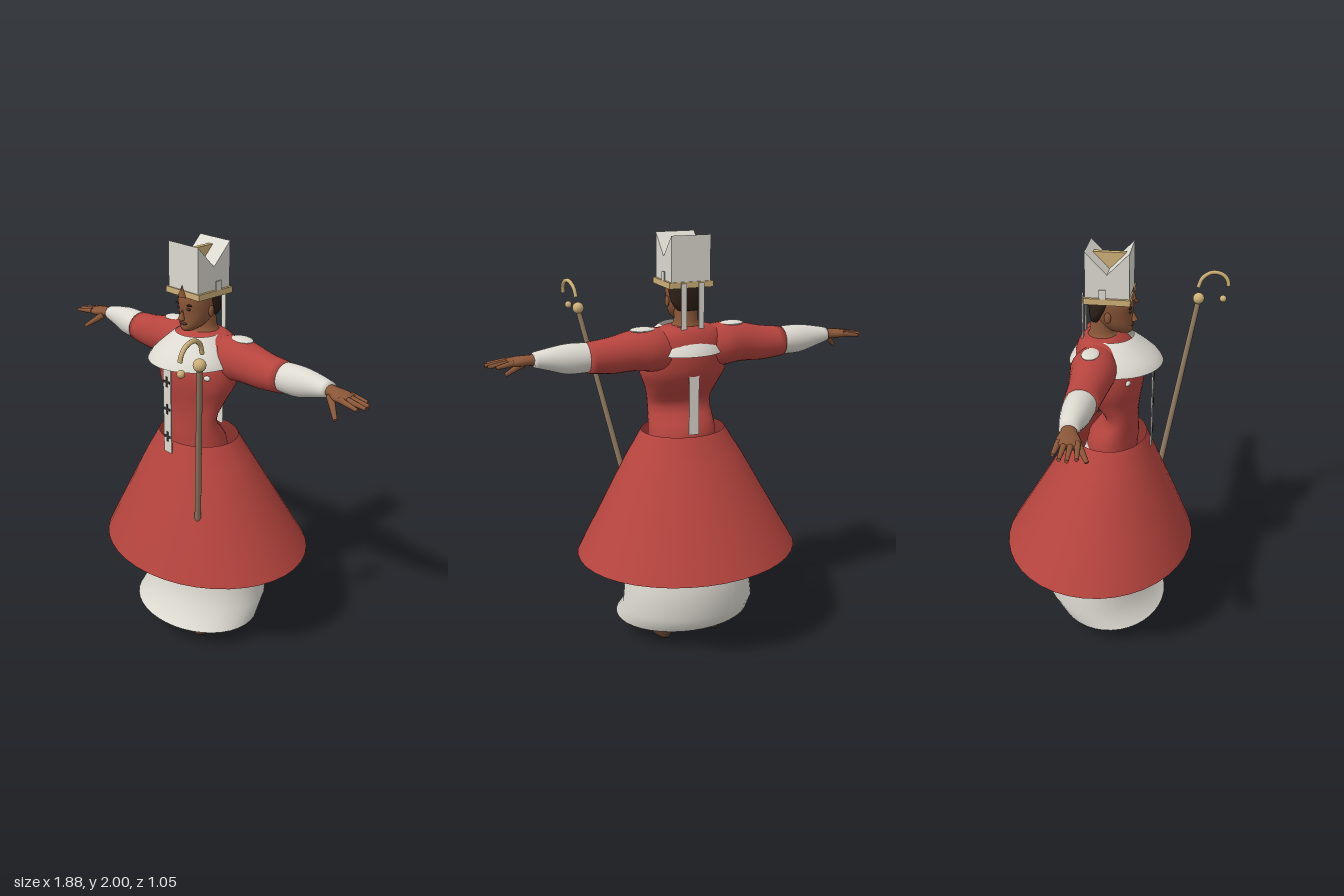
import * as THREE from 'three';

const paint = (name, color) => Object.assign(new THREE.MeshStandardMaterial({ color }), { name });

export function createModel() {
  const red = paint('red cloth', 0xb6443e);
  const white = paint('white linen', 0xdcd9d0);
  const skin = paint('skin', 0x8a5638);
  const leather = paint('dark leather', 0x4d3626);
  const hairDark = paint('dark hair', 0x2c1e17);
  const gold = paint('gold', 0xcdb078);
  const wood = paint('staff wood', 0x8e7960);
  const black = paint('black trim', 0x353535);
  red.side = white.side = THREE.DoubleSide;

  const model = new THREE.Group();
  const add = (name, geo, mat, pos = [0, 0, 0], scale = [1, 1, 1]) => {
    const m = new THREE.Mesh(geo, mat);
    m.name = name;
    m.position.set(...pos);
    m.scale.set(...scale);
    model.add(m);
    return m;
  };
  const box = (name, size, mat, pos) => add(name, new THREE.BoxGeometry(...size), mat, pos);
  const ball = (name, r, mat, pos) => add(name, new THREE.SphereGeometry(1, 20, 14), mat, pos, r);

  // Smooths a list of cross-sections with a Catmull-Rom rule.
  const refine = (rows, steps) => {
    const out = [];
    for (let i = 0; i < rows.length - 1; i++) {
      const [a, b, c, d] = [rows[Math.max(i - 1, 0)], rows[i], rows[i + 1], rows[Math.min(i + 2, rows.length - 1)]];
      for (let s = 0; s < steps; s++) {
        const t = s / steps;
        out.push(b.map((v, k) => v + 0.5 * t * (c[k] - a[k] + t * (2 * a[k] - 5 * v + 4 * c[k] - d[k]
          + t * (3 * (v - c[k]) + d[k] - a[k])))));
      }
    }
    out.push(rows[rows.length - 1]);
    return out;
  };

  // Skins elliptical rings; a row is [along, aMin, aMax, zMin, zMax], a = x (axis y) or y (axis x).
  const loft = (rows, { axis = 'y', steps = 3, n = 32, caps = true } = {}) => {
    const rings = refine(rows, steps), pos = [], idx = [];
    const put = (p, a, z) => (axis === 'y' ? pos.push(a, p, z) : pos.push(p, a, z));
    const flip = (axis === 'x') === (rows[rows.length - 1][0] > rows[0][0]);
    const tri = (a, b, c) => (flip ? idx.push(a, c, b) : idx.push(a, b, c));
    for (const [p, a0, a1, z0, z1] of rings) {
      for (let i = 0; i < n; i++) {
        const t = (i / n) * Math.PI * 2;
        put(p, (a0 + a1) / 2 + Math.cos(t) * (a1 - a0) / 2, (z0 + z1) / 2 + Math.sin(t) * (z1 - z0) / 2);
      }
    }
    for (let j = 0; j < rings.length - 1; j++) {
      for (let i = 0; i < n; i++) {
        const a = j * n + i, b = j * n + (i + 1) % n;
        tri(a, a + n, b);
        tri(b, a + n, b + n);
      }
    }
    if (caps) {
      const last = (rings.length - 1) * n;
      for (const [r, base] of [[rings[0], 0], [rings[rings.length - 1], last]]) {
        const c = pos.length / 3;
        put(r[0], (r[1] + r[2]) / 2, (r[3] + r[4]) / 2);
        for (let i = 0; i < n; i++) {
          const a = base + i, b = base + (i + 1) % n;
          base ? tri(a, c, b) : tri(a, b, c);
        }
      }
    }
    const g = new THREE.BufferGeometry();
    g.setAttribute('position', new THREE.Float32BufferAttribute(pos, 3));
    g.setIndex(idx);
    g.computeVertexNormals();
    return g;
  };
  // Rows symmetric in x: [y, half width, zBack, zFront]
  const sym = (rows, cx = 0) => rows.map(([y, r, z0, z1]) => [y, cx - r, cx + r, z0, z1]);

  // Tapered limb between two points
  const rod = (name, from, to, r0, r1, mat) => {
    const a = new THREE.Vector3(...from), b = new THREE.Vector3(...to), d = b.clone().sub(a);
    const m = add(name, new THREE.CylinderGeometry(r1, r0, d.length(), 12), mat);
    m.position.copy(a).add(b).multiplyScalar(0.5);
    m.quaternion.setFromUnitVectors(new THREE.Vector3(0, 1, 0), d.normalize());
    return m;
  };

  // Skirts
  add('overskirt', loft(sym([[0.48, 0.548, -0.518, 0.42], [0.7, 0.425, -0.39, 0.335],
    [0.94, 0.293, -0.25, 0.235], [1.0, 0.255, -0.215, 0.21], [1.08, 0.207, -0.172, 0.177]]),
  { steps: 2, n: 40, caps: false }), red);
  add('underskirt', loft(sym([[0.11, 0.347, -0.265, 0.29], [0.2, 0.335, -0.322, 0.2], [0.35, 0.318, -0.3, 0.19],
    [0.48, 0.3, -0.275, 0.186], [0.8, 0.22, -0.2, 0.14], [1.05, 0.16, -0.1, 0.13]]),
  { steps: 1, n: 40, caps: false }), white);

  // Torso with a hollow lower back
  add('torso', loft(sym([[0.98, 0.17, -0.11, 0.13], [1.08, 0.168, -0.1, 0.138], [1.19, 0.16, -0.02, 0.135],
    [1.28, 0.178, -0.085, 0.145], [1.36, 0.21, -0.14, 0.157], [1.44, 0.215, -0.157, 0.155],
    [1.52, 0.205, -0.155, 0.11], [1.57, 0.16, -0.135, 0.06], [1.59, 0.1, -0.11, 0.03]])), red);

  // Shoulder cape
  add('cape', loft(sym([[1.465, 0.216, -0.188, 0.247], [1.5, 0.197, -0.17, 0.222],
    [1.55, 0.15, -0.13, 0.16], [1.588, 0.108, -0.1, 0.11]]), { steps: 2, n: 40, caps: false }), white);

  // Neck and head
  add('neck', loft(sym([[1.53, 0.1, -0.12, 0.06], [1.58, 0.075, -0.105, 0.04], [1.61, 0.057, -0.092, 0.02],
    [1.68, 0.053, -0.085, 0.02]])), skin);
  add('head', loft(sym([[1.605, 0.022, 0.03, 0.095], [1.62, 0.043, -0.01, 0.105], [1.65, 0.062, -0.05, 0.103],
    [1.69, 0.072, -0.078, 0.103], [1.74, 0.077, -0.088, 0.108], [1.785, 0.075, -0.088, 0.1]])), skin);
  add('hair', loft(sym([[1.66, 0.05, -0.088, -0.03], [1.69, 0.075, -0.092, -0.02], [1.73, 0.081, -0.096, 0.02],
    [1.78, 0.081, -0.094, 0.05]])), hairDark);
  const nose = add('nose', new THREE.ConeGeometry(0.017, 0.055, 8), skin, [0, 1.687, 0.106]);
  nose.rotation.x = -0.22;
  ball('lips', [0.024, 0.007, 0.008], leather, [0, 1.642, 0.1]);
  add('foreheadPeak', new THREE.ConeGeometry(0.027, 0.055, 4), skin, [0, 1.792, 0.105], [1, 1, 0.5]);
  for (const s of [1, -1]) {
    ball('ear', [0.009, 0.026, 0.016], skin, [s * 0.079, 1.695, 0]);
    ball('eye', [0.013, 0.006, 0.006], black, [s * 0.031, 1.712, 0.096]);
    ball('eyebrow', [0.02, 0.005, 0.007], hairDark, [s * 0.033, 1.73, 0.096]);
  }

  // Split tall hat with its band, crest and hanging ribbons
  const hat = new THREE.Shape([[-0.098, 1.79], [0.098, 1.79], [0.098, 2], [0, 1.9], [-0.098, 2]]
    .map(([x, y]) => new THREE.Vector2(x, y)));
  add('hat', new THREE.ExtrudeGeometry(hat, { depth: 0.19, bevelEnabled: false })
    .translate(0, 0, -0.095).rotateY(Math.PI / 2), white);
  box('hatBand', [0.215, 0.028, 0.208], gold, [0, 1.78, 0]);
  box('hatCrest', [0.024, 0.09, 0.145], gold, [0, 1.93, 0]);
  for (const s of [1, -1]) {
    box('hatRibbon', [0.026, 0.28, 0.006], white, [s * 0.043, 1.65, -0.117]);
    box('hatTab', [0.006, 0.06, 0.03], white, [s * 0.104, 1.805, -0.02]);
  }

  // Front and back bands with crosses
  box('frontBand', [0.05, 0.45, 0.006], white, [0, 1.253, 0.201]);
  box('backBand', [0.05, 0.37, 0.006], white, [0, 1.265, -0.137]);
  for (const y of [1.385, 1.25, 1.11]) {
    box('crossBar', [0.042, 0.011, 0.005], black, [0, y, 0.205]);
    box('crossPost', [0.011, 0.05, 0.005], black, [0, y, 0.205]);
  }

  for (const s of [1, -1]) {
    const along = rows => rows.map(([x, ...r]) => [s * x, ...r]);
    // Sleeves
    add('upperSleeve', loft(along([[0.08, 1.37, 1.575, -0.13, 0.05], [0.18, 1.385, 1.59, -0.152, 0.058],
      [0.27, 1.395, 1.582, -0.14, 0.05], [0.37, 1.392, 1.56, -0.132, 0.032], [0.485, 1.404, 1.546, -0.13, 0.022]]),
    { axis: 'x', n: 24 }), red);
    add('forearmSleeve', loft(along([[0.44, 1.415, 1.538, -0.12, 0.01], [0.5, 1.41, 1.546, -0.124, 0.014],
      [0.58, 1.412, 1.548, -0.122, 0.006], [0.66, 1.435, 1.537, -0.112, -0.01], [0.73, 1.456, 1.523, -0.1, -0.02]]),
    { axis: 'x', n: 24 }), white);
    // Linen showing on shoulder and chest
    ball('shoulderLinen', [0.06, 0.012, 0.04], white, [s * 0.222, 1.583, -0.055]);
    ball('chestLinen', [0.022, 0.013, 0.012], white, [s * 0.155, 1.42, 0.103]);
    // Hand
    add('palm', loft(along([[0.7, 1.465, 1.515, -0.09, -0.03], [0.75, 1.465, 1.512, -0.09, -0.02],
      [0.8, 1.465, 1.508, -0.098, 0.004], [0.845, 1.468, 1.5, -0.092, 0.002]]), { axis: 'x', n: 16 }), skin);
    for (const [z, tipX, tipZ] of [[-0.083, 0.9, -0.092], [-0.058, 0.93, -0.062], [-0.033, 0.938, -0.03], [-0.008, 0.922, 0.006]]) {
      rod('finger', [s * 0.82, 1.488, z], [s * tipX, 1.476, tipZ], 0.014, 0.008, skin);
    }
    rod('thumb', [s * 0.755, 1.478, -0.03], [s * 0.835, 1.412, 0.03], 0.018, 0.009, skin);
    // Leg and foot
    rod('stocking', [s * 0.12, 0.15, -0.07], [s * 0.105, 0.85, -0.03], 0.042, 0.07, white);
    rod('ankle', [s * 0.122, 0.06, -0.072], [s * 0.12, 0.17, -0.07], 0.037, 0.038, skin);
    add('shoe', loft(sym([[0.005, 0.05, -0.115, 0.145], [0.02, 0.058, -0.12, 0.153], [0.045, 0.056, -0.12, 0.13],
      [0.07, 0.05, -0.12, 0.06], [0.105, 0.044, -0.117, -0.02]], s * 0.133), { n: 24 }), leather);
  }

  // Crooked staff
  rod('staff', [0.092, 0.08, 0.105], [0.4, 1.62, 0.378], 0.017, 0.013, wood);
  ball('staffKnob', [0.028, 0.028, 0.028], gold, [0.398, 1.622, 0.377]);
  const hook = new THREE.CatmullRomCurve3([[0.408, 1.675, 0.372], [0.414, 1.72, 0.39], [0.425, 1.747, 0.435],
    [0.433, 1.737, 0.485], [0.435, 1.71, 0.51], [0.434, 1.68, 0.518]].map(p => new THREE.Vector3(...p)));
  add('staffCrook', new THREE.TubeGeometry(hook, 24, 0.01, 10), gold);
  ball('crookTip', [0.017, 0.017, 0.017], gold, [0.415, 1.62, 0.495]);

  return model;
}
